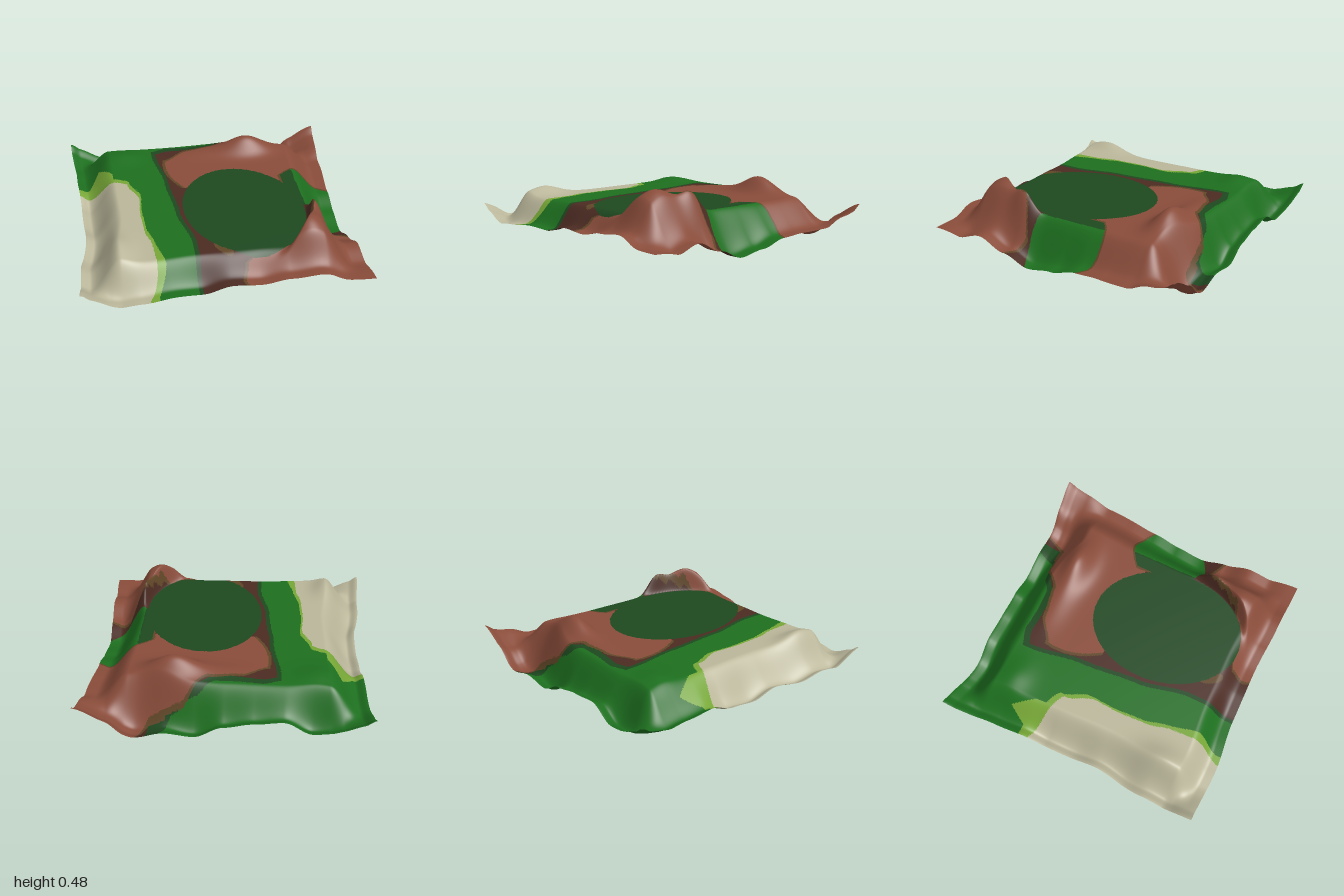
import * as THREE from 'three';

const N = 260; // grid cells per side
const PLAIN = 0.315; // height of the flat middle

const paint = (name, color) => {
  const m = new THREE.MeshStandardMaterial({ color, side: THREE.DoubleSide });
  m.name = name;
  return m;
};
const materials = [
  paint('grass green', 0x1d6f1f),
  paint('lime', 0x76a636),
  paint('pale stone', 0xbab69a),
  paint('forest green', 0x1d481f),
  paint('dark earth', 0x4b2b22),
  paint('olive', 0x604627),
  paint('red clay', 0x894c3a),
];
const [GRASS, LIME, STONE, FOREST, EARTH, OLIVE, CLAY] = materials.keys();

const { smoothstep, clamp, lerp } = THREE.MathUtils;

// Smooth curve through evenly spaced values
const track = (from, to, values) => (t) => {
  const s = clamp((t - from) / (to - from), 0, 1) * (values.length - 1);
  const i = Math.min(Math.floor(s), values.length - 2);
  return lerp(values[i], values[i + 1], smoothstep(s - i, 0, 1));
};

// Heights of the sunken border along each side
const back = track(-1, 1, [0.19, 0.09, 0.06, 0.15, 0.13, 0.1, 0.02, 0.045, 0.005, 0.09, 0.24]);
const front = track(-1, 1, [0.22, 0.12, 0.14, 0.155, 0.145, 0.19, 0.175, 0.21, 0.23, 0.18, 0.18]);
const left = track(-1, 1, [0.19, 0.13, 0.14, 0.15, 0.09, 0.07, 0.11, 0.09, 0.13, 0.11, 0.22]);
const right = track(-1, 1, [0.24, 0.16, 0.13, 0.125, 0.11, 0.06, 0.03, 0.1, 0.18, 0.13, 0.15]);

// Wavy outline of the sheet
const edgeBack = track(-1, 1, [0.995, 0.95, 0.95, 0.96, 0.965, 0.975]);
const edgeFront = track(-1, 1, [0.97, 0.985, 0.95, 0.945, 0.965, 0.98]);
const edgeLeft = track(-1, 1, [1, 0.97, 0.95, 0.935, 0.985, 1]);
const edgeRight = track(-1, 1, [0.995, 0.975, 0.945, 0.935, 0.95, 0.97]);

// Flat oval basin: below 1 is inside
const basin = (x, z) => ((x - 0.2 - 0.06 * (z - 0.23)) / 0.43) ** 2 + ((z - 0.23) / 0.55) ** 2;

// Hills: x, z, width x, width z, height
const hills = [
  [0.57, 0.63, 0.12, 0.14, 0.17],
  [0.68, 0.4, 0.09, 0.07, 0.12],
  [0.36, -0.58, 0.13, 0.075, 0.125],
  [0.05, -0.58, 0.16, 0.07, 0.025],
  [-0.62, -0.6, 0.1, 0.08, 0.03],
  [-0.73, 0.62, 0.07, 0.12, 0.06],
];

function heightAt(x, z, u, v) {
  let top = PLAIN;
  for (const [cx, cz, sx, sz, h] of hills) {
    const bump = Math.exp(-(((x - cx) / sx) ** 2 + ((z - cz) / sz) ** 2) / 2);
    top += h * bump * smoothstep(basin(x, z), 1, 1.2);
  }
  const shift = 0.1 * smoothstep(x, 0.2, 0.6);
  const sides = [
    [smoothstep(-v, 0.74 - shift, 0.93 - shift / 2), back(x)],
    [smoothstep(v, 0.76, 0.94), front(x)],
    [smoothstep(-u, 0.72, 0.95), left(z)],
    [smoothstep(u, 0.68, 0.92), right(z)],
  ];
  let keep = 1, total = 0, sum = 0;
  for (const [w, h] of sides) {
    keep *= 1 - w;
    total += w;
    sum += w * h;
  }
  const border = total > 0 ? sum / total : 0;
  const rim = 0.03 * (smoothstep(-v, 0.92, 1) + smoothstep(-u, 0.93, 1));
  return lerp(border, top, keep) + rim;
}

// Borders between the coloured grounds
const stoneEast = track(-0.4, 1, [-1.05, -0.6, -0.53, -0.54, -0.53, -0.49, -0.48, -0.55]);
const forestWest = track(-1, 1, [-0.38, -0.38, -0.325, -0.29, -0.22, -0.22]);
const forestNorth = track(-0.4, 0.5, [-0.66, -0.7, -0.69, -0.69, -0.77, -0.81, -1.1]);
const clayNorth = track(-0.3, 0.7, [-0.5, -0.61, -0.64, -0.78, -0.79, -1.15]);
const clayWest = track(0.3, 1, [0.8, 0.67, 0.64, 0.58, 0.46, 0.13, 0.1, 0.14]);

const isLime = (x, z) =>
  x < stoneEast(z + 0.04) + 0.015 + 0.05 * smoothstep(z, 0.5, 0.85) ||
  (z < 0 && x < -0.7 && z > -0.54 + 1.6 * Math.abs(x + 0.8) && z > -0.54) ||
  (z > -0.41 && z < -0.3 && x < -0.8);

// Clay lies behind and in front of the basin; m widens it
const isClay = (x, z, m) =>
  (z < -0.1 && z > clayNorth(x) - m && x > -0.29 + 1.1 * (z + 0.42) ** 2 - m) ||
  (z > 0.3 && x > clayWest(z) - m && z > 0.31 + 0.5 * (x - 0.75) - m);

// Side valley running out to the right; m widens it
const isValley = (x, z, m) => x > 0.55 - m && Math.abs(z - 0.01) < 0.28 + m - 2.2 * (x - 0.76) ** 2;

function colorAt(x, z) {
  if (basin(x, z) < 1) return FOREST;
  if (isValley(x, z, 0)) return x > 0.65 ? GRASS : FOREST;
  if (isValley(x, z, 0.015)) return z < 0 ? OLIVE : EARTH;
  if (isClay(x, z, 0)) return CLAY;
  if (isClay(x, z, x > 0.4 && z < 0 ? 0.04 : 0.022)) return OLIVE;
  if (Math.hypot(x + 0.02, (z - 0.68) * 0.9 - (x + 0.02) * 0.7) < 0.06) return OLIVE;
  if (x > forestWest(z) + 0.03 && z > forestNorth(x) + 0.05 && (z > -0.78 || x > 0.52)) return EARTH;
  if (x > forestWest(z) && z > forestNorth(x)) return FOREST;
  if (x < stoneEast(z)) return STONE;
  return isLime(x, z) ? LIME : GRASS;
}

export function createModel() {
  // Sheet of points
  const pos = [];
  for (let j = 0; j <= N; j++) {
    for (let i = 0; i <= N; i++) {
      const u = (2 * i) / N - 1, v = (2 * j) / N - 1;
      const x = u * (u < 0 ? edgeLeft(v) : edgeRight(v));
      const z = v * (v < 0 ? edgeBack(u) : edgeFront(u));
      pos.push(x, heightAt(x, z, u, v), z);
    }
  }

  // Triangles sorted by ground colour
  const faces = materials.map(() => []);
  const addFace = (a, b, c) => {
    const mid = (k) => (pos[3 * a + k] + pos[3 * b + k] + pos[3 * c + k]) / 3;
    faces[colorAt(mid(0), mid(2))].push(a, b, c);
  };
  for (let j = 0; j < N; j++) {
    for (let i = 0; i < N; i++) {
      const a = j * (N + 1) + i, b = a + 1, c = a + N + 1, d = c + 1;
      addFace(a, c, b);
      addFace(b, c, d);
    }
  }

  const geometry = new THREE.BufferGeometry();
  geometry.setAttribute('position', new THREE.Float32BufferAttribute(pos, 3));
  geometry.setIndex(faces.flat());
  let start = 0;
  faces.forEach((list, m) => {
    geometry.addGroup(start, list.length, m);
    start += list.length;
  });
  geometry.computeBoundingBox();
  geometry.translate(0, -geometry.boundingBox.min.y, 0);
  geometry.computeVertexNormals();

  const ground = new THREE.Mesh(geometry, materials);
  ground.name = 'terrainSheet';
  const group = new THREE.Group();
  group.name = 'terrain';
  group.add(ground);
  return group;
}
